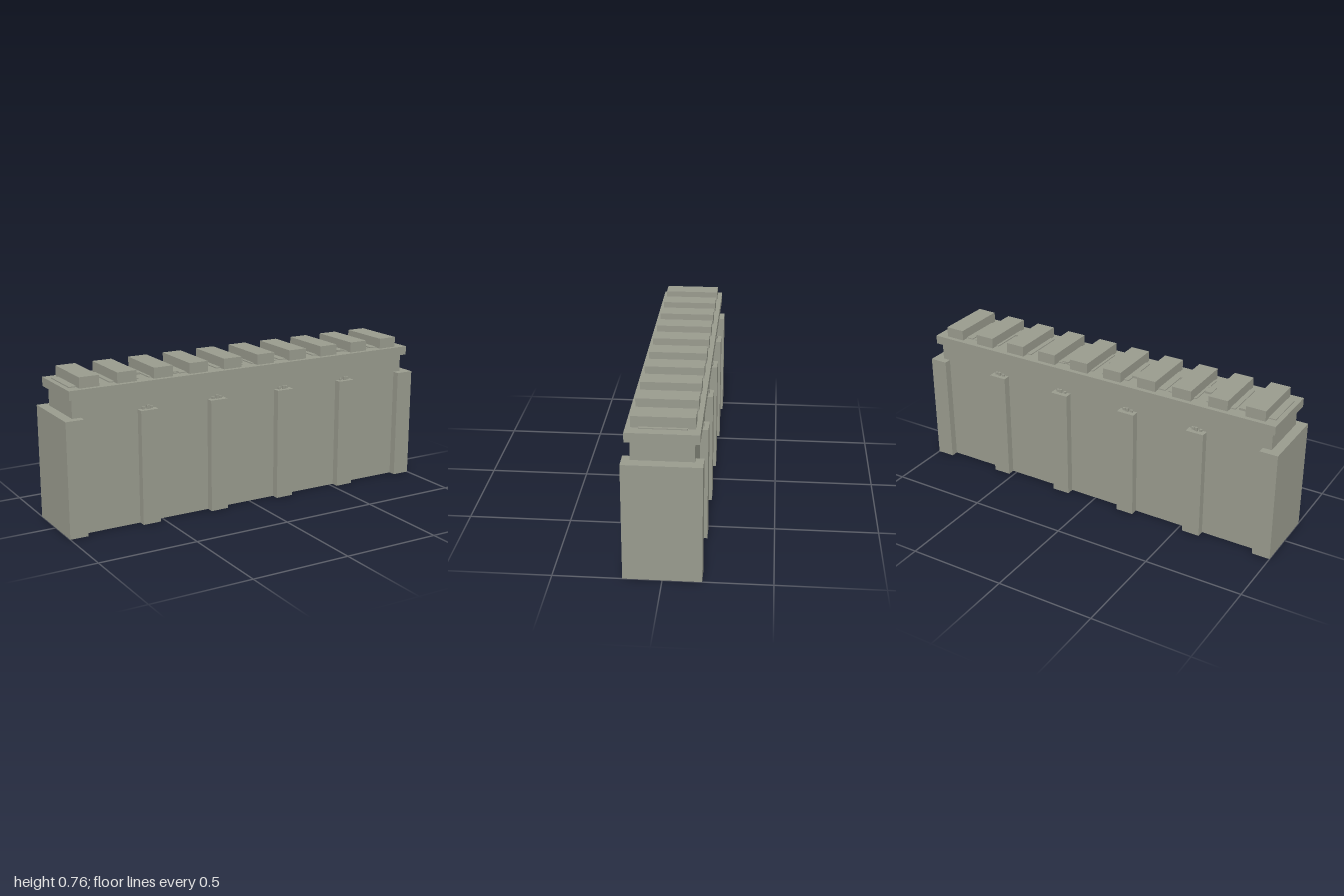
import * as THREE from 'three';

export function createModel() {
  const group = new THREE.Group();
  const stone = new THREE.MeshStandardMaterial({ color: 0x989a8d });

  // box given by its centre in x and z, and its bottom in y
  function block(name, w, h, d, x, y, z) {
    const mesh = new THREE.Mesh(new THREE.BoxGeometry(w, h, d), stone);
    mesh.name = name;
    mesh.position.set(x, y + h / 2, z);
    group.add(mesh);
    return mesh;
  }

  // wall and overhanging cap
  block('wall', 1.9, 0.67, 0.284, -0.002, 0, 0);
  block('cap', 1.94, 0.045, 0.33, -0.002, 0.664, 0);

  // end piers
  for (const s of [-1, 1]) block('endPier', 0.092, 0.571, 0.36, s * 0.954, 0, 0);

  // buttresses on both faces, each topped by a few small pebbles
  for (const x of [-0.573, -0.195, 0.191, 0.57]) {
    for (const s of [-1, 1]) {
      block('buttress', 0.092, 0.571, 0.05, x, 0, s * 0.155);
      for (const [dx, dz, h] of [[-0.02, 0.152, 0.012], [0.002, 0.156, 0.019], [0.021, 0.151, 0.014]]) {
        block('pebble', 0.014, h, 0.01, x + dx, 0.57, s * dz);
      }
    }
  }

  // merlons, with thin worn paving between them
  for (let i = 0; i < 10; i++) {
    const x = -0.861 + i * 0.1911;
    block('merlon', 0.1, 0.054, 0.284, x, 0.708, 0);
    block('paving', 0.15, 0.006, 0.215, x + (i % 3 - 1) * 0.012, 0.708, 0);
    if (i < 9) {
      block('pavingStone', 0.035, 0.012, 0.06, x + 0.085 + (i % 2) * 0.02, 0.708, ((i * 2) % 5 - 2) * 0.035);
    }
  }
  return group;
}
